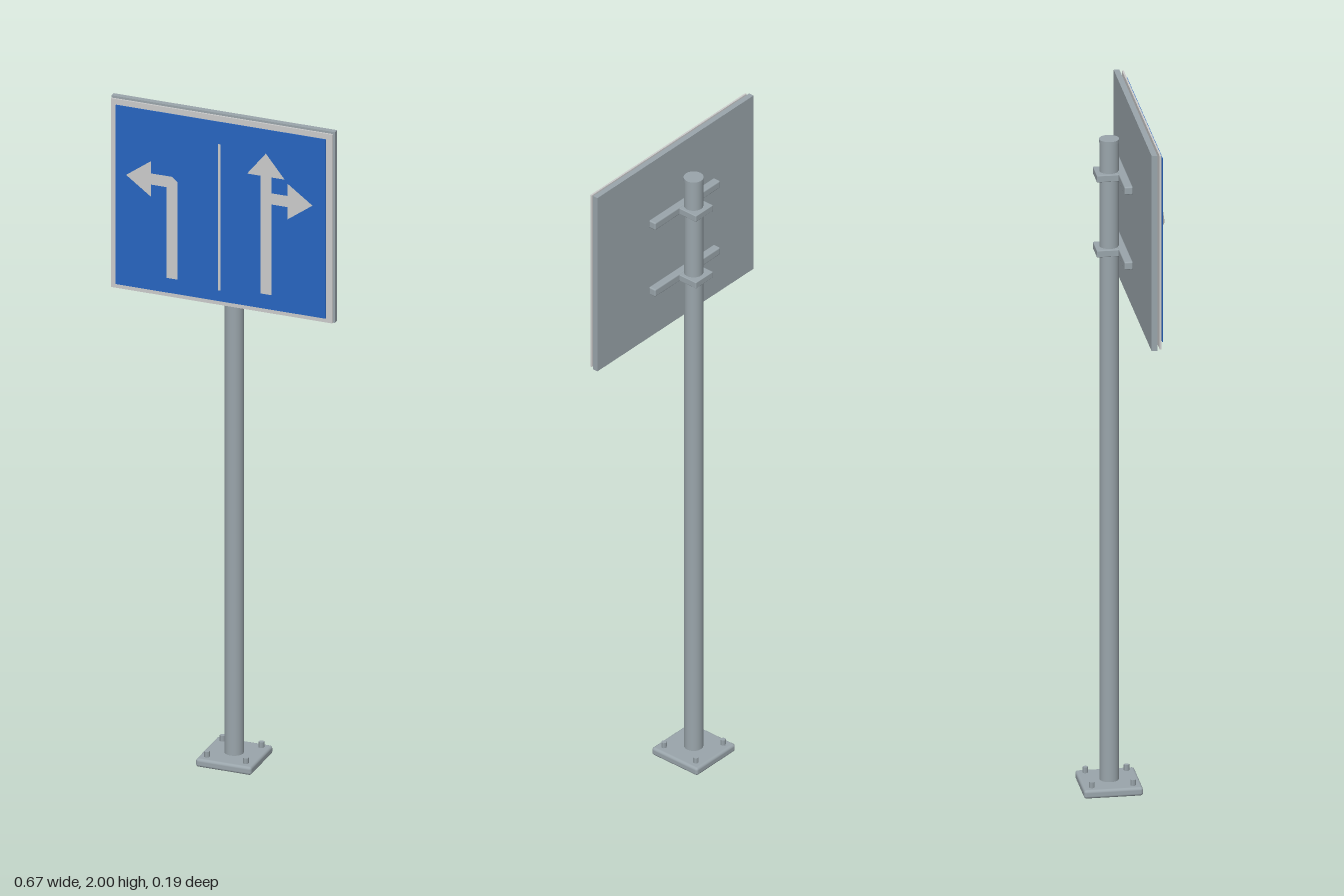
import * as THREE from 'three';
import { RoundedBoxGeometry } from 'three/addons/geometries/RoundedBoxGeometry.js';

const POLE_Z = -0.016;

export function createModel() {
  const model = new THREE.Group();
  const metal = new THREE.MeshStandardMaterial({ color: 0x9aa5ab });
  const white = new THREE.MeshStandardMaterial({ color: 0xcccccc, side: THREE.DoubleSide });
  const blue = new THREE.MeshStandardMaterial({ color: 0x2765c0 });

  const add = (name, geometry, material, x, y, z) => {
    const mesh = new THREE.Mesh(geometry, material);
    mesh.name = name;
    mesh.position.set(x, y, z);
    model.add(mesh);
    return mesh;
  };
  const box = (w, h, d) => new THREE.BoxGeometry(w, h, d);
  const marking = (name, points) => {
    const shape = new THREE.Shape(points.map(([x, y]) => new THREE.Vector2(x, y)));
    add(name, new THREE.ShapeGeometry(shape), white, 0, 0, 0.0955);
  };

  // Base plate with four hexagonal bolts
  add('basePlate', new RoundedBoxGeometry(0.166, 0.025, 0.166, 3, 0.008), metal, 0, 0.0125, POLE_Z);
  for (const sx of [-1, 1]) {
    for (const sz of [-1, 1]) {
      add('baseBolt', new THREE.CylinderGeometry(0.008, 0.008, 0.02, 6), metal,
        sx * 0.058, 0.032, POLE_Z + sz * 0.058);
    }
  }

  // Pole and its cap
  add('pole', new THREE.CylinderGeometry(0.027, 0.027, 1.9, 32), metal, 0, 0.97, POLE_Z);
  add('poleCap', new THREE.CylinderGeometry(0.028, 0.028, 0.01, 32), metal, 0, 1.923, POLE_Z);

  // Clamps and cross bars behind the panel
  for (const y of [1.6, 1.823]) {
    add('clamp', new RoundedBoxGeometry(0.073, 0.02, 0.08, 2, 0.002), metal, 0, y, POLE_Z);
    add('crossBar', new RoundedBoxGeometry(0.278, 0.024, 0.024, 3, 0.004), metal, 0, y, 0.017);
  }

  // Layered sign panel
  add('backPanel', box(0.666, 0.58, 0.016), metal, 0, 1.71, 0.058);
  add('whiteBorder', box(0.66, 0.574, 0.005), white, 0, 1.71, 0.0755);
  add('blueFace', box(0.626, 0.545, 0.002), blue, 0, 1.71, 0.084);

  // Lane divider and arrows
  marking('laneDivider', [[-0.004, 1.475], [0.004, 1.475], [0.004, 1.92], [-0.004, 1.92]]);
  marking('leftTurnArrow', [
    [-0.157, 1.487], [-0.124, 1.487], [-0.124, 1.782], [-0.14, 1.797], [-0.204, 1.797],
    [-0.204, 1.834], [-0.278, 1.78], [-0.204, 1.726], [-0.204, 1.763], [-0.157, 1.763],
  ]);
  marking('straightAndRightArrow', [
    [0.123, 1.487], [0.156, 1.487], [0.156, 1.763], [0.204, 1.763], [0.204, 1.726],
    [0.278, 1.78], [0.204, 1.834], [0.204, 1.797], [0.156, 1.797], [0.156, 1.845],
    [0.195, 1.845], [0.139, 1.915], [0.083, 1.845], [0.123, 1.845],
  ]);
  return model;
}
